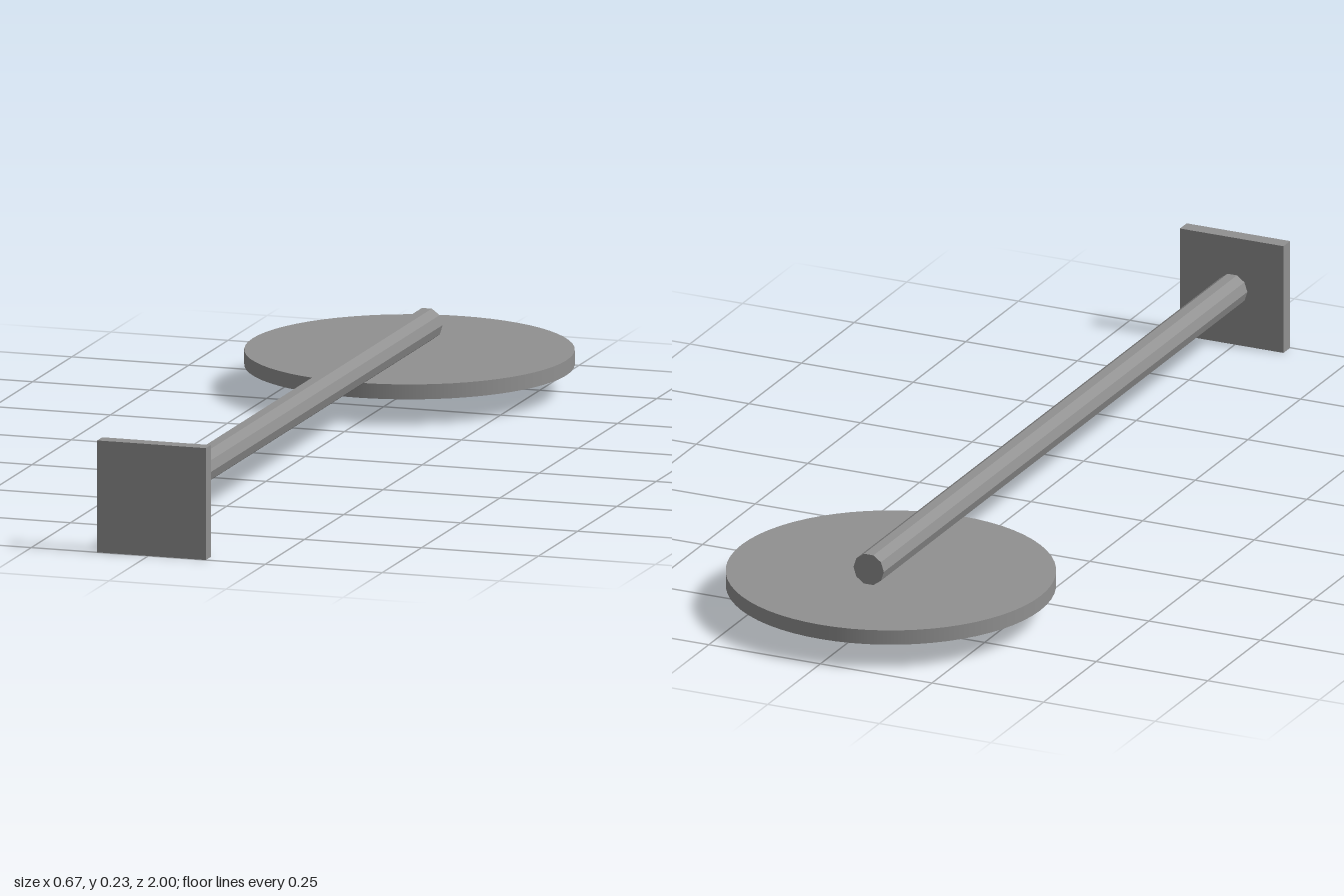
import * as THREE from 'three';

export function createModel() {
  const group = new THREE.Group();
  const smooth = new THREE.MeshStandardMaterial({ color: 0x909090 });
  const flat = new THREE.MeshStandardMaterial({ color: 0x909090, flatShading: true });

  const add = (name, geometry, material, x, y, z) => {
    const mesh = new THREE.Mesh(geometry, material);
    mesh.name = name;
    mesh.position.set(x, y, z);
    group.add(mesh);
  };

  // Square mounting plate at the front end
  add('mountingPlate', new THREE.BoxGeometry(0.232, 0.232, 0.032), flat, 0.007, 0.116, 0.984);

  // Ten-sided arm running back along z, with corners at its left and right
  const arm = new THREE.CylinderGeometry(0.034, 0.034, 1.727, 10, 1, false, Math.PI / 2);
  arm.rotateX(Math.PI / 2);
  add('arm', arm, flat, 0.006, 0.119, 0.1055);

  // Flat round disc under the back end of the arm
  add('disc', new THREE.CylinderGeometry(0.335, 0.335, 0.031, 64), smooth, 0, 0.0695, -0.665);

  return group;
}
